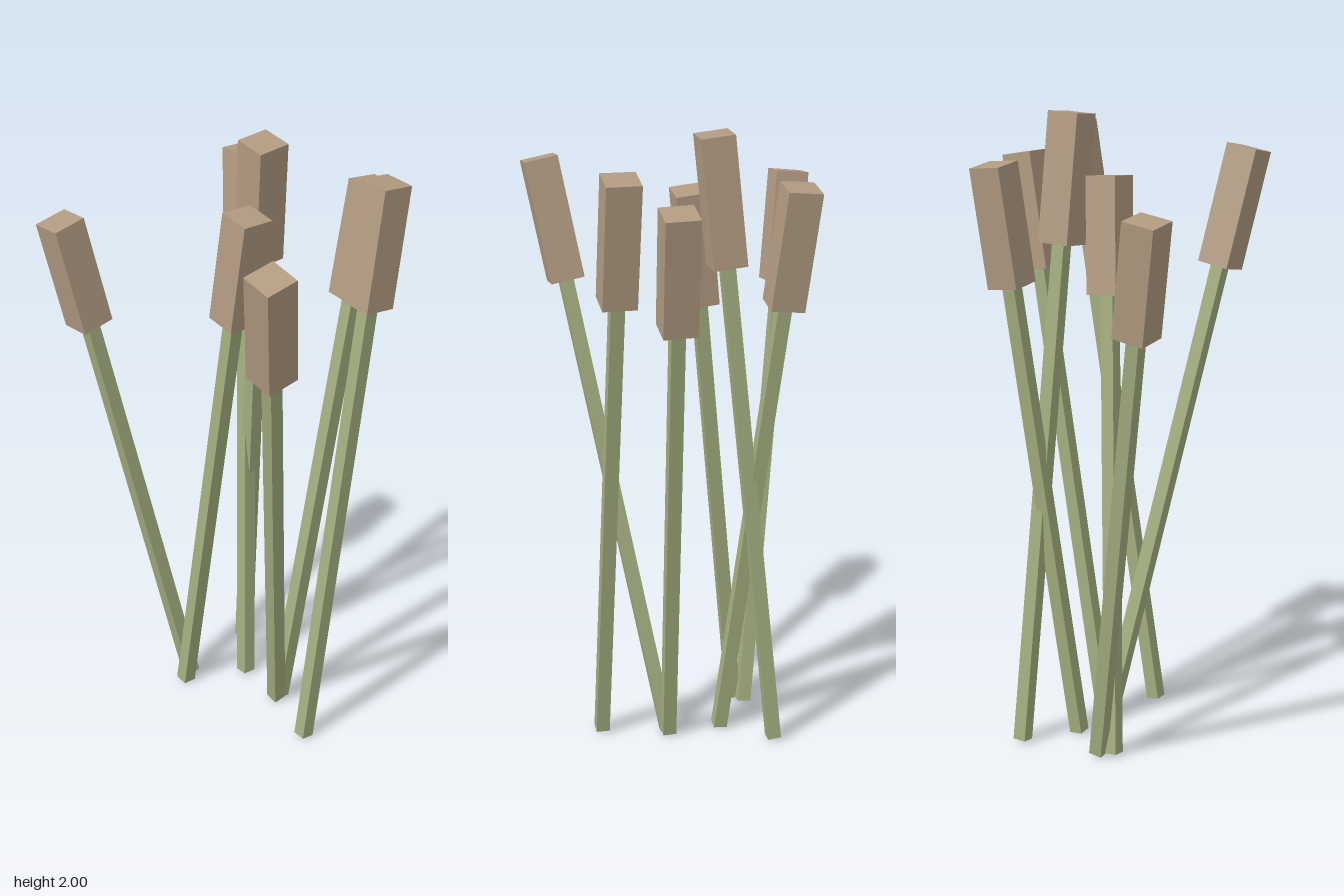
import * as THREE from 'three';

const stemMaterial = new THREE.MeshStandardMaterial({ color: 0xa3ae7f, flatShading: true });
const headMaterial = new THREE.MeshStandardMaterial({ color: 0xb29b82, flatShading: true });

const STEM_WIDTH = 0.043;
const HEAD_WIDTH = 0.105;
const HEAD_SHARE = 0.2; // part of the reed's length taken by its head

// Each reed: base x, base z, then the centre of its tip x, y, z
const reeds = [
  [-0.09, -0.205, -0.385, 1.745, -0.415],
  [0.05, 0.087, -0.26, 1.86, 0.413],
  [-0.13, -0.18, -0.003, 1.8, -0.002],
  [0.175, -0.24, 0.098, 1.99, -0.053],
  [0.058, -0.087, 0.226, 1.848, -0.286],
  [-0.004, 0.293, 0.297, 1.92, 0.265],
  [0.066, 0.085, 0.385, 1.835, 0.115],
];

// Square bar standing on its own origin
function bar(name, width, length, y, material) {
  const geometry = new THREE.BoxGeometry(width, length, width).translate(0, y + length / 2, 0);
  const mesh = new THREE.Mesh(geometry, material);
  mesh.name = name;
  return mesh;
}

function makeReed([bx, bz, tx, ty, tz]) {
  const base = new THREE.Vector3(bx, 0.006, bz);
  const axis = new THREE.Vector3(tx, ty, tz).sub(base);
  const length = axis.length();
  const stemLength = length * (1 - HEAD_SHARE);

  const reed = new THREE.Group();
  reed.add(bar('stem', STEM_WIDTH, stemLength, 0, stemMaterial));
  reed.add(bar('seedHead', HEAD_WIDTH, length * HEAD_SHARE, stemLength, headMaterial));

  // Lean the upright reed towards its tip
  reed.position.copy(base);
  reed.quaternion.setFromUnitVectors(new THREE.Vector3(0, 1, 0), axis.normalize());
  return reed;
}

export function createModel() {
  const model = new THREE.Group();
  model.name = 'reedCluster';
  reeds.forEach((data, i) => {
    const reed = makeReed(data);
    reed.name = `reed${i + 1}`;
    model.add(reed);
  });
  return model;
}
